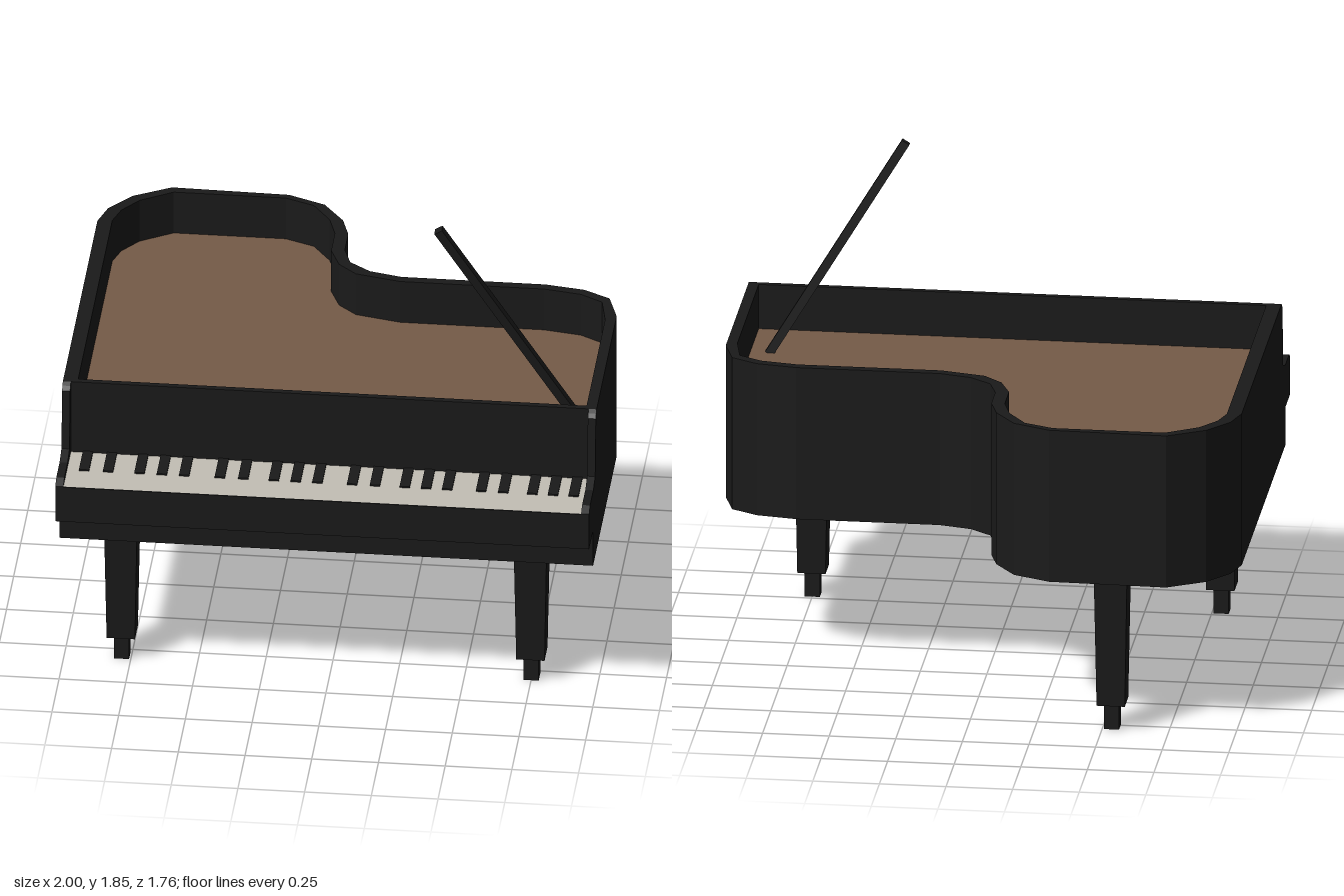
import * as THREE from 'three';

const ebony = new THREE.MeshStandardMaterial({ color: 0x1a1a1a });
ebony.name = 'ebony black';
const wood = new THREE.MeshStandardMaterial({ color: 0x755b48 });
wood.name = 'soundboard brown';
const ivory = new THREE.MeshStandardMaterial({ color: 0xc3bfb5 });
ivory.name = 'ivory';

// Plan outlines as [x, z], from the front right corner round the tail
const outer = [
  [-1, 0.615], [-1, -0.6], [-0.97, -0.7], [-0.89, -0.8], [-0.75, -0.88], [-0.31, -0.87],
  [-0.17, -0.81], [-0.09, -0.7], [-0.06, -0.6], [-0.06, -0.48], [-0.03, -0.39], [0.05, -0.33],
  [0.17, -0.3], [0.71, -0.3], [0.86, -0.275], [0.96, -0.22], [1, -0.09], [1, 0.615],
];
const inner = [
  [-0.945, 0.592], [-0.945, -0.61], [-0.92, -0.69], [-0.86, -0.77], [-0.74, -0.845], [-0.32, -0.845],
  [-0.21, -0.8], [-0.14, -0.7], [-0.11, -0.6], [-0.11, -0.47], [-0.07, -0.37], [0, -0.305],
  [0.17, -0.265], [0.71, -0.265], [0.85, -0.24], [0.935, -0.19], [0.96, -0.06], [0.96, 0.592],
];

const BOARD_Y = 1.02;

function planPoints(outline) {
  return outline.map(([x, z]) => new THREE.Vector2(x, -z));
}

// Extrude a plan outline upwards from y0 to y1; the hole winds the other way
function slab(outline, y0, y1, hole) {
  const shape = new THREE.Shape(planPoints(outline));
  if (hole) shape.holes.push(new THREE.Path(planPoints(hole).reverse()));
  const geo = new THREE.ExtrudeGeometry(shape, { depth: y1 - y0, bevelEnabled: false });
  return geo.rotateX(-Math.PI / 2).translate(0, y0, 0);
}

function box(x0, x1, y0, y1, z0, z1) {
  return new THREE.BoxGeometry(x1 - x0, y1 - y0, z1 - z0)
    .translate((x0 + x1) / 2, (y0 + y1) / 2, (z0 + z1) / 2);
}

// Square post, tapering from the top width to the bottom width
function post(topW, bottomW, y0, y1) {
  const geo = new THREE.CylinderGeometry(topW / Math.SQRT2, bottomW / Math.SQRT2, y1 - y0, 4, 1)
    .rotateY(Math.PI / 4).toNonIndexed().translate(0, (y0 + y1) / 2, 0);
  geo.computeVertexNormals();
  return geo;
}

export function createModel() {
  const model = new THREE.Group();
  model.name = 'grandPiano';
  const add = (name, geo, mat, parent = model) => {
    const mesh = new THREE.Mesh(geo, mat);
    mesh.name = name;
    parent.add(mesh);
    return mesh;
  };

  // Case: solid body, raised rim and the soundboard inside it
  add('caseBody', slab(outer, 0.6, BOARD_Y), ebony);
  add('rim', slab(outer, BOARD_Y, 1.2, inner), ebony);
  add('soundboard', slab(inner, BOARD_Y, BOARD_Y + 0.005), wood);

  // Keyboard shelf, with the white keys as a flat face on top
  add('keySlip', box(-1, 1, 0.6, 0.755, 0.615, 0.74), ebony);
  add('keyBed', box(-0.97, 0.97, 0.75, 0.897, 0.615, 0.88), ebony);
  const keyTop = new THREE.PlaneGeometry(1.94, 0.265).rotateX(-Math.PI / 2).translate(0, 0.9, 0.7475);
  add('whiteKeys', keyTop, ivory);

  // Black keys in groups of two and three, spacing narrowing slightly to the left end
  const blackKeys = new THREE.Group();
  blackKeys.name = 'blackKeys';
  model.add(blackKeys);
  for (let octave = 0; octave < 4; octave++) {
    for (const offset of [0, 0.175, 0.405, 0.57, 0.735]) {
      const t = octave + offset;
      const x = -0.906 + 0.515 * t - 0.0064 * t * t;
      add('blackKey', box(x - 0.019, x + 0.019, 0.9, 0.906, 0.615, 0.755), ebony, blackKeys);
    }
  }

  // Cheeks at both ends of the keyboard, profile as (z, y)
  const profile = [
    [0.615, 0.75], [0.88, 0.75], [0.88, 0.9], [0.845, 0.918], [0.73, 0.918],
    [0.665, 0.94], [0.643, 1.175], [0.63, 1.19], [0.615, 1.2],
  ].map(([z, y]) => new THREE.Vector2(z, y));
  const cheek = new THREE.ExtrudeGeometry(new THREE.Shape(profile), { depth: 0.03, bevelEnabled: false })
    .rotateY(-Math.PI / 2);
  add('rightCheek', cheek, ebony).position.x = -0.97;
  add('leftCheek', cheek, ebony).position.x = 1;

  // Legs: tapered post on a slim square foot
  const legGeo = post(0.124, 0.106, 0.1, 0.6);
  const footGeo = post(0.057, 0.057, 0, 0.1);
  const legs = { frontRightLeg: [-0.785, 0.545], frontLeftLeg: [0.75, 0.545], backLeg: [-0.535, -0.77] };
  for (const [name, [x, z]] of Object.entries(legs)) {
    const leg = new THREE.Group();
    leg.name = name;
    leg.position.set(x, 0, z);
    add('post', legGeo, ebony, leg);
    add('foot', footGeo, ebony, leg);
    model.add(leg);
  }

  // Lid prop leaning up from the soundboard
  const low = new THREE.Vector3(0.89, BOARD_Y, 0.345);
  const high = new THREE.Vector3(0.39, 1.84, 0.452);
  const dir = high.clone().sub(low);
  const prop = add('lidProp', new THREE.BoxGeometry(0.033, dir.length(), 0.033), ebony);
  prop.position.copy(low).add(high).multiplyScalar(0.5);
  prop.quaternion.setFromUnitVectors(new THREE.Vector3(0, 1, 0), dir.normalize());

  return model;
}
